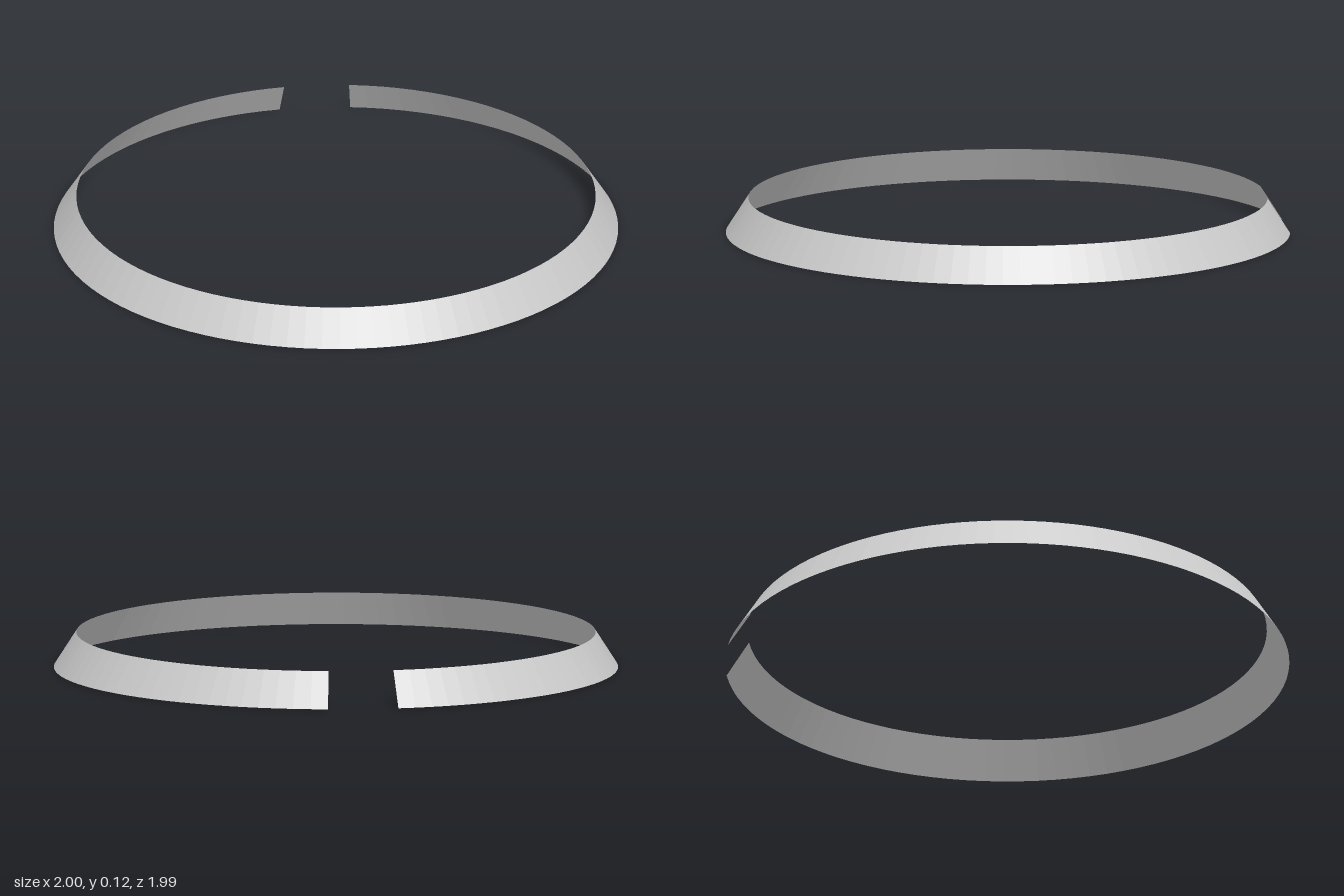
import * as THREE from 'three';

export function createModel() {
  const group = new THREE.Group();
  group.name = 'splitCollar';

  const height = 0.125;
  const halfGap = THREE.MathUtils.degToRad(7.2);

  // Thin sloping band, open at the top and bottom, with a gap at the back
  const band = new THREE.Mesh(
    new THREE.CylinderGeometry(0.92, 1, height, 96, 1, true,
      Math.PI + halfGap, 2 * (Math.PI - halfGap)),
    new THREE.MeshStandardMaterial({
      color: 0xcccccc, flatShading: true, side: THREE.DoubleSide,
    }),
  );
  band.name = 'slopedBand';
  // The gap shortens the back, so shift the ring to centre it
  band.position.set(0, height / 2, -(1 - Math.cos(halfGap)) / 2);
  group.add(band);

  return group;
}
